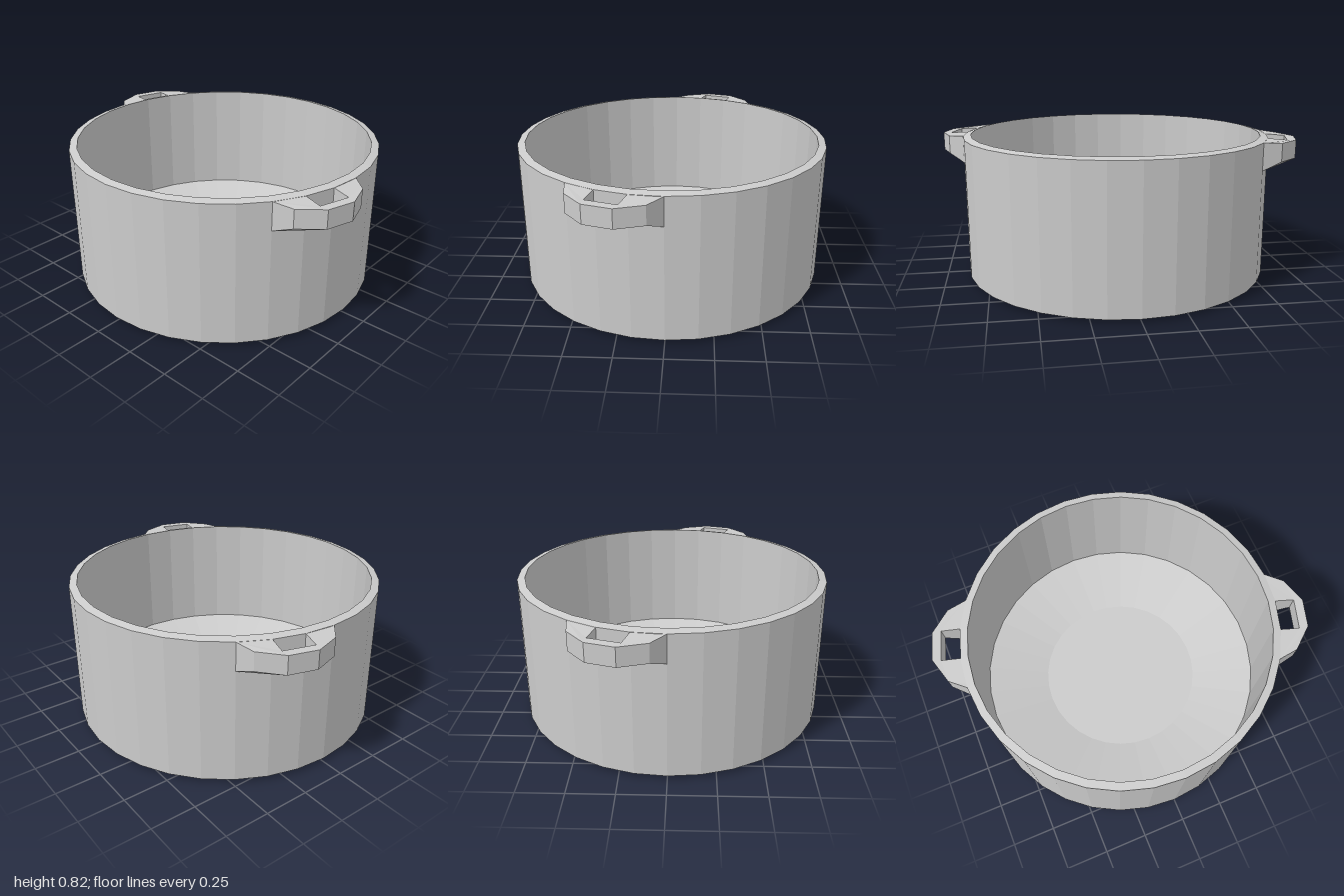
import * as THREE from 'three';

const R = 0.873; // outer wall radius
const material = new THREE.MeshStandardMaterial({ color: 0xcccccc, flatShading: true });

// Point on the plan, given by radius and angle in degrees from the handle's middle
const polar = (r, deg) => {
  const a = THREE.MathUtils.degToRad(deg);
  return new THREE.Vector2(r * Math.cos(a), r * Math.sin(a));
};

// Pot: one closed profile covering base, wall, rim, inside and dished floor
function createPot() {
  const profile = [
    [0, 0], [0.68, 0], [R, 0.02], [R, 0.81], [0.83, 0.82],
    [0.83, 0.156], [0.47, 0.06], [0, 0.06],
  ].map(([r, y]) => new THREE.Vector2(r, y));
  const pot = new THREE.Mesh(new THREE.LatheGeometry(profile, 32), material);
  pot.name = 'pot';
  return pot;
}

// Handle: faceted lug with a finger slot, deeper where it meets the wall
function createHandleGeometry() {
  const half = [[0.845, 16.5], [R, 16.875], [0.96, 12.4], [1.026, 4.35]];
  const outline = [
    ...half.map(([r, a]) => polar(r, -a)),
    ...half.slice().reverse().map(([r, a]) => polar(r, a)),
    polar(0.845, 0),
  ];
  const shape = new THREE.Shape(outline);
  shape.holes.push(new THREE.Path([
    polar(0.87, -5.625), polar(0.87, 5.625), polar(0.977, 5), polar(0.977, -5),
  ]));

  const geometry = new THREE.ExtrudeGeometry(shape, { depth: 1, bevelEnabled: false });
  geometry.rotateX(Math.PI / 2);
  const p = geometry.attributes.position;
  for (let i = 0; i < p.count; i++) {
    const atWall = Math.hypot(p.getX(i), p.getZ(i)) < 0.9;
    const isTop = p.getY(i) > -0.5;
    p.setY(i, isTop ? (atWall ? 0.809 : 0.802) : (atWall ? 0.655 : 0.7));
  }
  geometry.computeVertexNormals();
  return geometry;
}

export function createModel() {
  const model = new THREE.Group();
  model.name = 'cookingPot';
  model.add(createPot());

  // Two handles opposite each other, turned slightly off the side axis
  const handleGeometry = createHandleGeometry();
  const offset = THREE.MathUtils.degToRad(16.875);
  ['leftHandle', 'rightHandle'].forEach((name, i) => {
    const handle = new THREE.Mesh(handleGeometry, material);
    handle.name = name;
    handle.rotation.y = -offset + i * Math.PI;
    model.add(handle);
  });
  return model;
}
